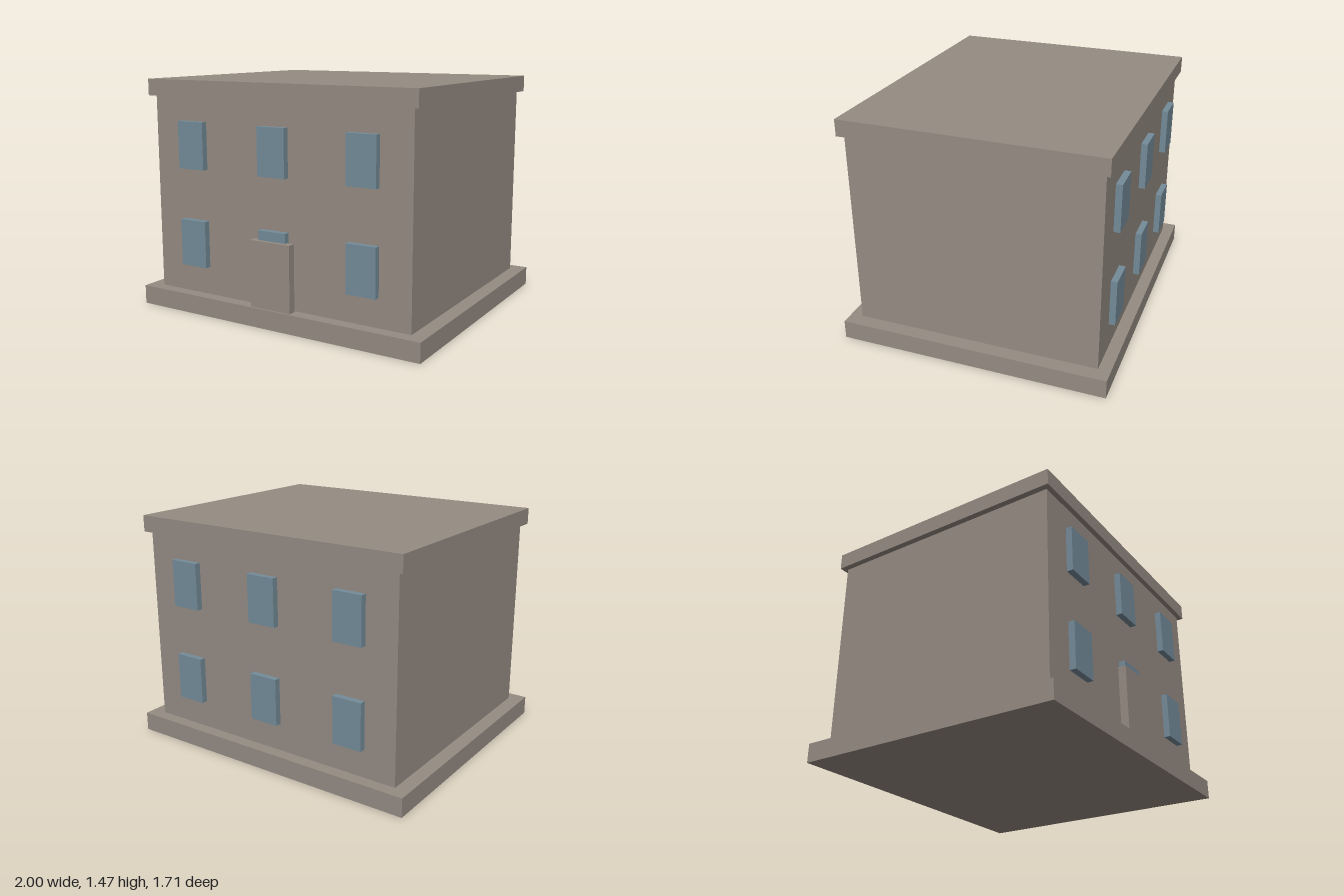
import * as THREE from 'three';

export function createModel() {
  const model = new THREE.Group();
  model.name = 'house';
  const stone = new THREE.MeshStandardMaterial({ color: 0x958b83 });
  stone.name = 'stone';
  const glass = new THREE.MeshStandardMaterial({ color: 0x748c99 });
  glass.name = 'glass';

  // Box centred on x, standing on y and centred on z
  function addBox(name, material, [w, h, d], [x, y, z]) {
    const mesh = new THREE.Mesh(new THREE.BoxGeometry(w, h, d), material);
    mesh.name = name;
    mesh.position.set(x, y + h / 2, z);
    model.add(mesh);
  }

  // Plinth, walls and flat roof slab
  addBox('plinth', stone, [2, 0.12, 1.71], [0, 0, 0]);
  addBox('walls', stone, [1.815, 1.243, 1.555], [0, 0.12, 0]);
  addBox('roof', stone, [1.89, 0.104, 1.617], [0, 1.363, 0]);

  // Door slab, standing just clear of the front wall
  addBox('door', stone, [0.284, 0.415, 0.05], [0, 0.12, 0.817]);

  // Two rows of three windows on the front and the back
  for (const [side, z] of [['front', 0.797], ['back', -0.797]]) {
    for (const [floor, y] of [['Lower', 0.298], ['Upper', 0.918]]) {
      for (const x of [-0.605, 0, 0.605]) {
        addBox(side + floor + 'Window', glass, [0.193, 0.296, 0.04], [x, y, z]);
      }
    }
  }
  return model;
}
